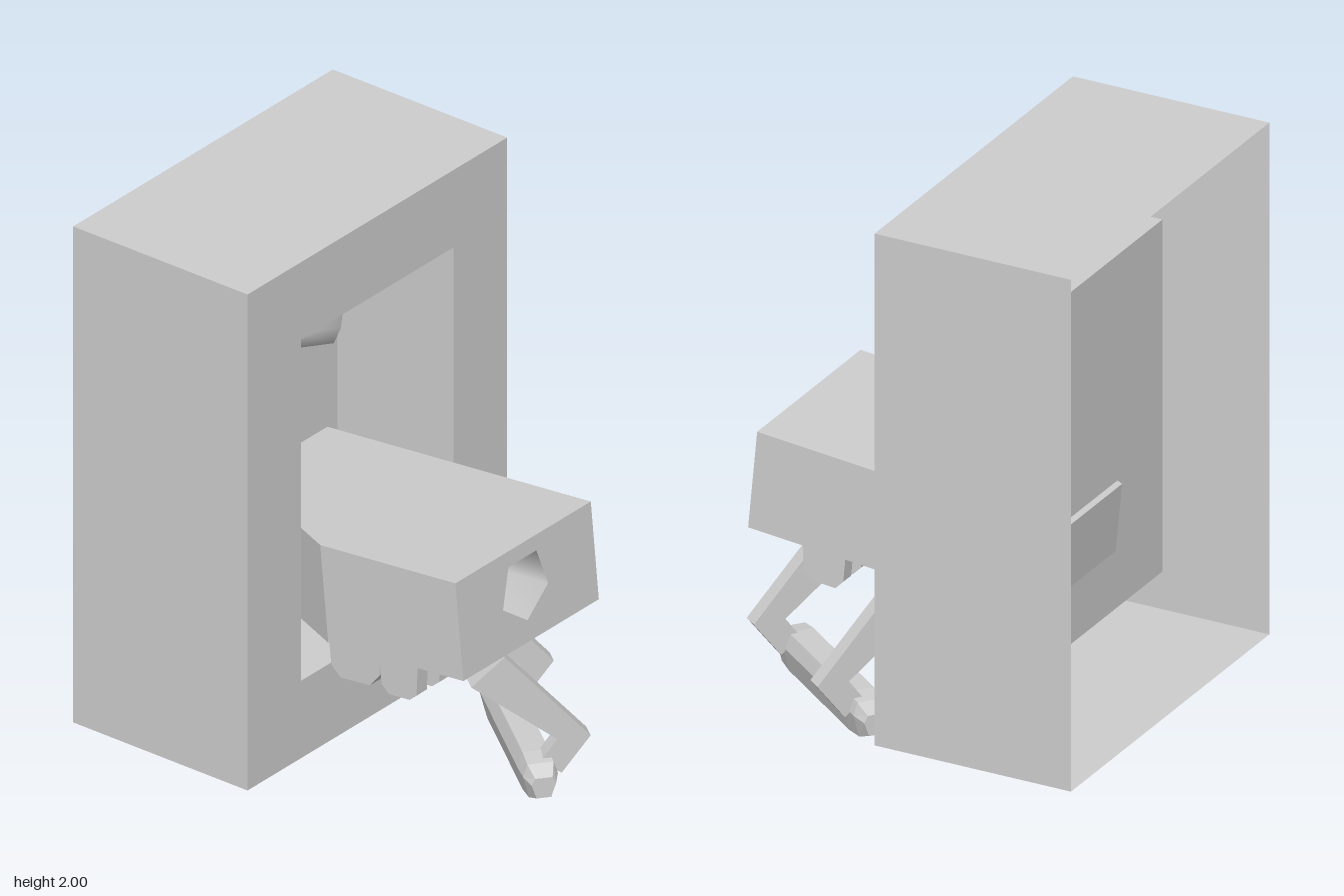
import * as THREE from 'three';

const grey = new THREE.MeshStandardMaterial({ color: 0xcccccc, side: THREE.DoubleSide });
grey.name = 'light grey';

function add(parent, name, geometry) {
  const mesh = new THREE.Mesh(geometry, grey);
  mesh.name = name;
  parent.add(mesh);
  return mesh;
}

// Flat-faced skin over rings of [x, y, z] points; caps fan out from the first point.
function loft(rings, { closed = true, caps = true } = {}) {
  const pos = [];
  const tri = (a, b, c) => pos.push(...a, ...b, ...c);
  const n = rings[0].length;
  for (let r = 0; r < rings.length - 1; r++) {
    const a = rings[r], b = rings[r + 1];
    for (let i = 0; i < (closed ? n : n - 1); i++) {
      const j = (i + 1) % n;
      tri(a[i], a[j], b[j]);
      tri(a[i], b[j], b[i]);
    }
  }
  if (caps) {
    const last = rings[rings.length - 1];
    for (let i = 1; i < n - 1; i++) {
      tri(rings[0][0], rings[0][i + 1], rings[0][i]);
      tri(last[0], last[i], last[i + 1]);
    }
  }
  const g = new THREE.BufferGeometry();
  g.setAttribute('position', new THREE.Float32BufferAttribute(pos, 3));
  g.computeVertexNormals();
  return g;
}

// Flat rectangle with an optional hole (list of [x, y]).
function plate(x0, y0, x1, y1, hole) {
  const v = (l) => l.map(([x, y]) => new THREE.Vector2(x, y));
  const s = new THREE.Shape(v([[x0, y0], [x1, y0], [x1, y1], [x0, y1]]));
  if (hole) s.holes.push(new THREE.Path(v(hole)));
  return new THREE.ShapeGeometry(s);
}

// Five-sided cup, open at the top, and the outline of its mouth (point down).
const CUP_R = 0.126;
const cup = () => new THREE.LatheGeometry(
  [[0, -0.24], [0.095, -0.24], [CUP_R, -0.17], [CUP_R, 0]].map(([x, y]) => new THREE.Vector2(x, y)), 5);
const mouth = (cx, cy) => Array.from({ length: 5 }, (_, i) => {
  const a = i * Math.PI * 2 / 5;
  return [cx + CUP_R * Math.sin(a), cy - CUP_R * Math.cos(a)];
});

const rect = (x, y0, y1, z) => [[x, y1, z], [x, y0, z], [-x, y0, z], [-x, y1, z]];

function buildCabinet() {
  const g = new THREE.Group();
  g.name = 'cabinet';
  const Z = -0.005, AX = 0.405, A0 = 0.405, A1 = 1.705, AB = -0.5;
  // Outer shell, open at the back
  add(g, 'shellSides', loft([rect(0.69, 0.11, 2, -0.75), rect(0.69, 0.11, 2, Z)], { caps: false }));
  add(g, 'shellFront', plate(-0.69, 0.11, 0.69, 2,
    [[-AX, A0], [AX, A0], [AX, A1], [-AX, A1]])).position.z = Z;
  // Alcove behind the opening
  add(g, 'alcoveWalls', loft([rect(AX, A0, A1, AB), rect(AX, A0, A1, Z)], { closed: false, caps: false }));
  add(g, 'alcoveBack', plate(-AX, A0, AX, A1)).position.z = AB;
  const ceiling = add(g, 'alcoveCeiling', plate(-AX, -Z, AX, -AB, mouth(-0.02, 0.27)));
  ceiling.rotation.x = -Math.PI / 2;
  ceiling.position.y = A1;
  add(g, 'ceilingCup', cup()).position.set(-0.02, A1, -0.27);
  return g;
}

function buildBody() {
  const g = new THREE.Group();
  g.name = 'body';
  g.position.set(0, 0.62, 0.66);
  g.rotation.x = -0.095;
  // Block with one slanted rear corner; the front is a separate plate with a hole
  const H = 0.362;
  const footprint = [[0.35, 0], [0.35, -1.155], [-0.08, -1.155], [-0.37, -0.58], [-0.37, 0]];
  add(g, 'bodyBlock', loft([0, H].map((y) => footprint.map(([x, z]) => [x, y, z])), { closed: false }));
  add(g, 'bodyFront', plate(-0.37, 0, 0.35, H, mouth(-0.02, 0.204)));
  const c = add(g, 'frontCup', cup());
  c.rotation.x = Math.PI / 2;
  c.position.set(-0.02, 0.204, 0);
  return g;
}

// Tapered lugs under the body, profiles in (z, y)
function buildLugs() {
  const g = new THREE.Group();
  g.name = 'lugs';
  const small = [[0.465, 0.62], [0.46, 0.495], [0.43, 0.468], [0.34, 0.46], [0.31, 0.49], [0.3, 0.6]];
  const large = [[0.21, 0.59], [0.205, 0.43], [0.165, 0.38], [0.04, 0.365], [0, 0.4], [-0.02, 0.57]];
  const lug = (name, profile, x, w) => add(g, name,
    loft([x - w / 2, x + w / 2].map((px) => profile.map(([z, y]) => [px, y, z]))));
  for (const x of [-0.3425, -0.2225, 0.18, 0.3025]) lug('smallLug', small, x, 0.055);
  for (const x of [-0.2125, 0.1675]) lug('largeLug', large, x, 0.075);
  return g;
}

// Two bent legs on one runner; h runs across the runner, s along it
function buildStand() {
  const g = new THREE.Group();
  g.name = 'stand';
  const at = (ox, oz, h, y, s) => [ox + 0.79 * h + 0.61 * s, y, oz + 0.61 * h - 0.79 * s];
  const leg = [[-0.115, 0], [-0.41, 0.235], [-0.295, 0.335], [0, 0], [-0.1, -0.13], [-0.17, -0.075]];
  for (const [name, s0] of [['frontLeg', 0], ['rearLeg', 0.527]]) {
    add(g, name, loft([s0, s0 + 0.06].map((s) =>
      leg.map(([h, y]) => at(0.195, 0.75, h, 0.2 + y, s)))));
  }
  // Runner: half length, half widths (bottom, side, top) and heights per ring
  const ring = (s, b, w, t, y0, y1, y2) =>
    [[-b, y0], [b, y0], [w, y1], [t, y2], [-t, y2], [-w, y1]].map(([h, y]) => at(0.235, 0.407, h, y, s));
  const end = [0.025, 0.042, 0.03, 0.025, 0.075, 0.1];
  const shoulder = [0.04, 0.06, 0.045, 0.005, 0.085, 0.13];
  const middle = [0.045, 0.065, 0.045, 0, 0.09, 0.14];
  add(g, 'runner', loft([
    ring(-0.37, ...end), ring(-0.32, ...shoulder), ring(-0.25, ...middle),
    ring(0.25, ...middle), ring(0.32, ...shoulder), ring(0.37, ...end),
  ]));
  return g;
}

export function createModel() {
  const model = new THREE.Group();
  model.name = 'cabinetWithDrawerAndStand';
  model.add(buildCabinet(), buildBody(), buildLugs(), buildStand());
  // Cup on the side of the body, passing through the alcove wall
  const side = add(model, 'sideCup', cup().rotateY(-Math.PI / 2).rotateZ(Math.PI / 2));
  side.position.set(0.35, 0.746, -0.28);
  return model;
}
